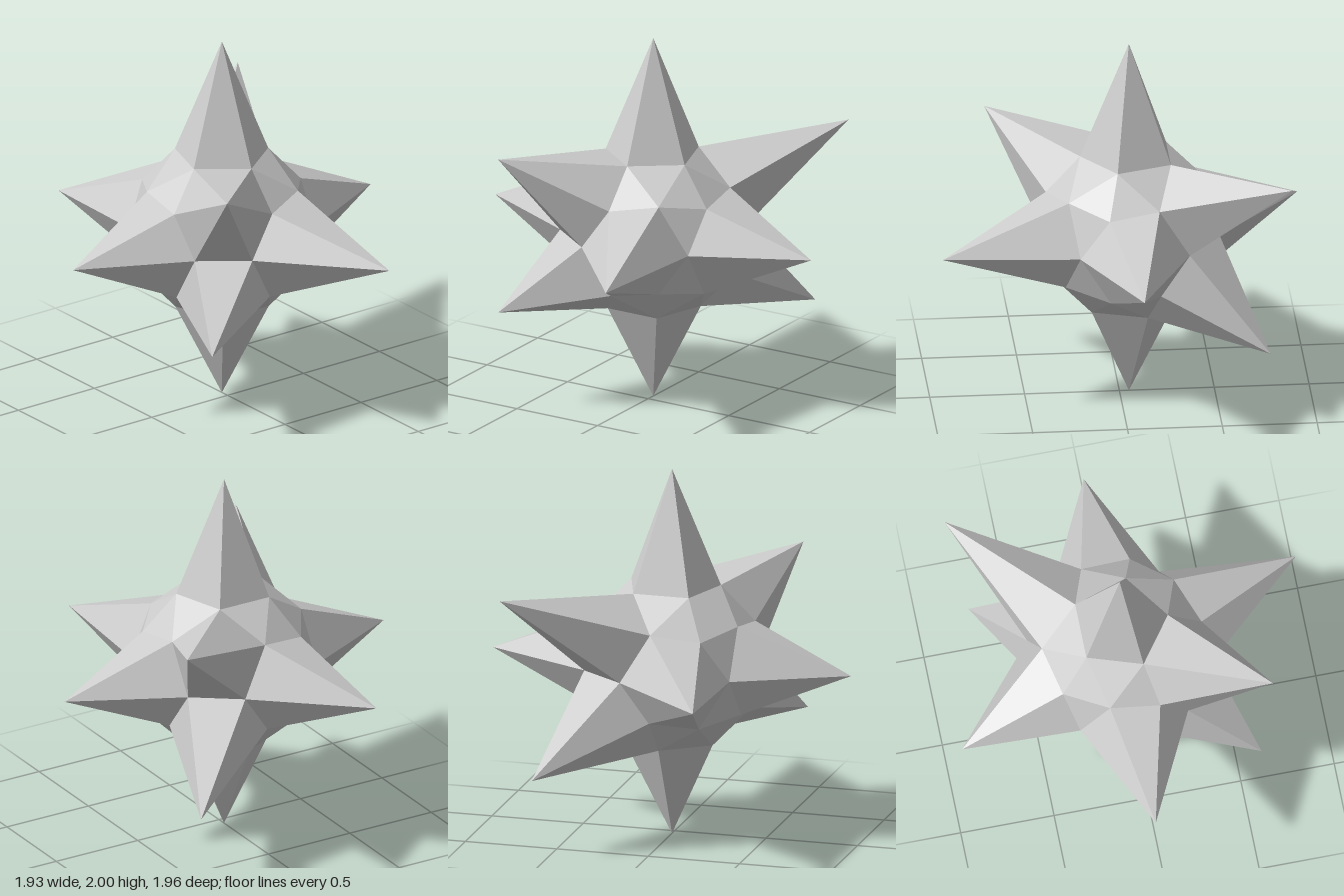
import * as THREE from 'three';

const CENTRE = new THREE.Vector3(-0.05, 0.945, 0);
const CORE_RADIUS = 0.49;

// Spike tips, as offsets from the centre of the core
const TIPS = {
  topSpike: [0, 1.055, 0],
  bottomSpike: [0, -0.94, 0],
  frontSpike: [0, 0, 0.98],
  backSpike: [0, 0, -0.98],
  leftSpike: [1.01, 0, -0.34],
  rightSpike: [-0.92, 0, 0.38],
  upperFrontLeftSpike: [0.72, 0.497, 0.51],
  lowerFrontLeftSpike: [0.65, -0.385, 0.555],
  upperBackRightSpike: [-0.8, 0.495, -0.71],
  lowerBackRightSpike: [-0.7, -0.505, -0.565],
};

export function createModel() {
  const group = new THREE.Group();
  group.name = 'spikedStar';
  const material = new THREE.MeshStandardMaterial({ color: 0xcccccc, flatShading: true });

  // Subdivided icosahedron, turned so one of its corners points straight up
  const sphere = new THREE.IcosahedronGeometry(CORE_RADIUS, 1);
  sphere.rotateZ(-Math.atan(2 / (1 + Math.sqrt(5))));
  const pos = sphere.getAttribute('position');

  const spikes = Object.entries(TIPS).map(([name, p]) => {
    const tip = new THREE.Vector3(...p);
    return { name, tip, dir: tip.clone().normalize() };
  });

  // Pull the corner nearest each spike out to its tip, and sort faces by part
  const parts = { core: [] };
  for (let i = 0; i < pos.count; i += 3) {
    let part = 'core';
    const face = [];
    for (let k = 0; k < 3; k++) {
      const v = new THREE.Vector3().fromBufferAttribute(pos, i + k);
      const spike = spikes.find((s) => s.dir.dot(v) > 0.965 * CORE_RADIUS);
      if (spike) part = spike.name;
      face.push(spike ? spike.tip : v);
    }
    (parts[part] ??= []).push(...face);
  }

  // One mesh for the core facets and one for each spike
  for (const [name, points] of Object.entries(parts)) {
    const geometry = new THREE.BufferGeometry().setFromPoints(points);
    geometry.computeVertexNormals();
    const mesh = new THREE.Mesh(geometry, material);
    mesh.name = name;
    mesh.position.copy(CENTRE);
    group.add(mesh);
  }
  return group;
}
